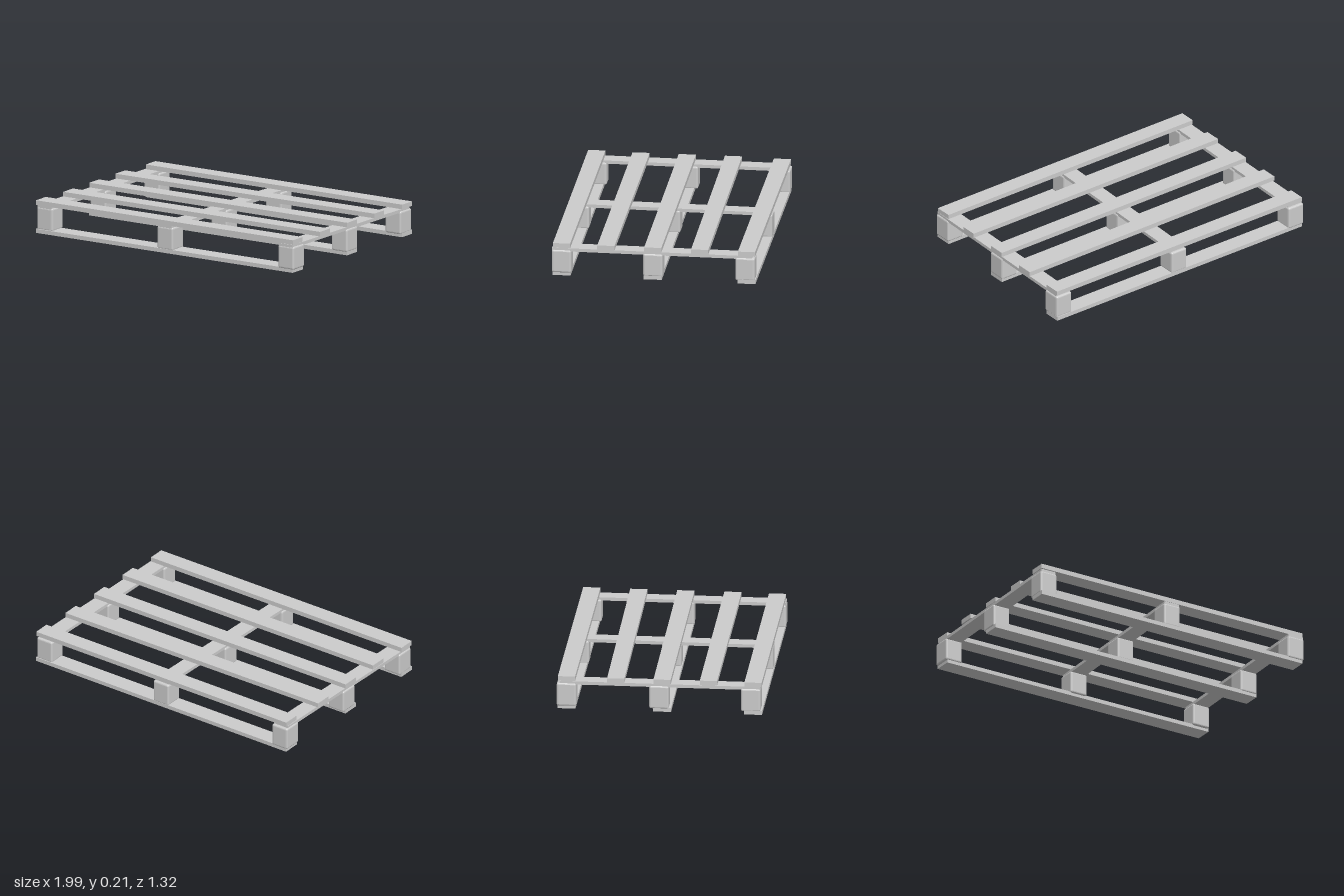
import * as THREE from 'three';
import { RoundedBoxGeometry } from 'three/addons/geometries/RoundedBoxGeometry.js';

const material = new THREE.MeshStandardMaterial({ color: 0xcccccc });

function add(parent, name, geometry) {
  geometry.computeVertexNormals();
  const mesh = new THREE.Mesh(geometry, material);
  mesh.name = name;
  parent.add(mesh);
  return mesh;
}

// Plank along x whose ends sit at different z, so it runs slightly askew
function plankX(parent, name, [x0, z0, x1, z1], width, y0, y1) {
  const g = new THREE.BoxGeometry(1, 1, 1);
  const p = g.attributes.position;
  for (let i = 0; i < p.count; i++) {
    const t = p.getX(i) + 0.5;
    const z = THREE.MathUtils.lerp(z0, z1, t) + p.getZ(i) * width;
    p.setXYZ(i, THREE.MathUtils.lerp(x0, x1, t), p.getY(i) < 0 ? y0 : y1, z);
  }
  add(parent, name, g);
}

// Plank along z whose ends sit at different x
function plankZ(parent, name, [xBack, xFront], width, zEnd, y0, y1) {
  const g = new THREE.BoxGeometry(1, 1, 1);
  const p = g.attributes.position;
  for (let i = 0; i < p.count; i++) {
    const t = p.getZ(i) + 0.5;
    const x = THREE.MathUtils.lerp(xBack, xFront, t) + p.getX(i) * width;
    p.setXYZ(i, x, p.getY(i) < 0 ? y0 : y1, (t * 2 - 1) * zEnd);
  }
  add(parent, name, g);
}

export function createModel() {
  const pallet = new THREE.Group();
  pallet.name = 'pallet';

  // Five deck boards: left end x, z and right end x, z
  const deck = [
    [-0.96, -0.595, 0.995, -0.605],
    [-0.98, -0.28, 0.985, -0.305],
    [-0.98, 0.015, 0.98, -0.005],
    [-0.98, 0.31, 0.975, 0.295],
    [-0.995, 0.595, 0.96, 0.58],
  ];
  const deckBoards = new THREE.Group();
  deckBoards.name = 'deckBoards';
  deck.forEach((ends, i) => plankX(deckBoards, `deckBoard${i + 1}`, ends, 0.11, 0.184, 0.214));

  // Three stringers under the deck: x at the back and at the front
  const stringerX = [[-0.91, -0.937], [0.022, -0.017], [0.936, 0.908]];
  const stringers = new THREE.Group();
  stringers.name = 'stringers';
  stringerX.forEach((xs, i) => plankZ(stringers, `stringer${i + 1}`, xs, 0.106, 0.64, 0.163, 0.184));

  // Three bottom runners, following the outer and middle deck boards
  const runners = new THREE.Group();
  runners.name = 'runners';
  [deck[0], deck[2], deck[4]].forEach((ends, i) =>
    plankX(runners, `runner${i + 1}`, ends, 0.115, 0.002, 0.028));

  // Nine spacer blocks where stringers cross runners
  const blocks = new THREE.Group();
  blocks.name = 'blocks';
  [-0.595, -0.005, 0.58].forEach((z, row) => {
    stringerX.forEach(([xBack, xFront], col) => {
      const t = (z + 0.64) / 1.28;
      const g = new RoundedBoxGeometry(0.12, 0.15, 0.125, 2, 0.012);
      const block = add(blocks, `block${row * 3 + col + 1}`, g);
      block.position.set(THREE.MathUtils.lerp(xBack, xFront, t), 0.096, z);
    });
  });

  pallet.add(deckBoards, stringers, runners, blocks);
  return pallet;
}
